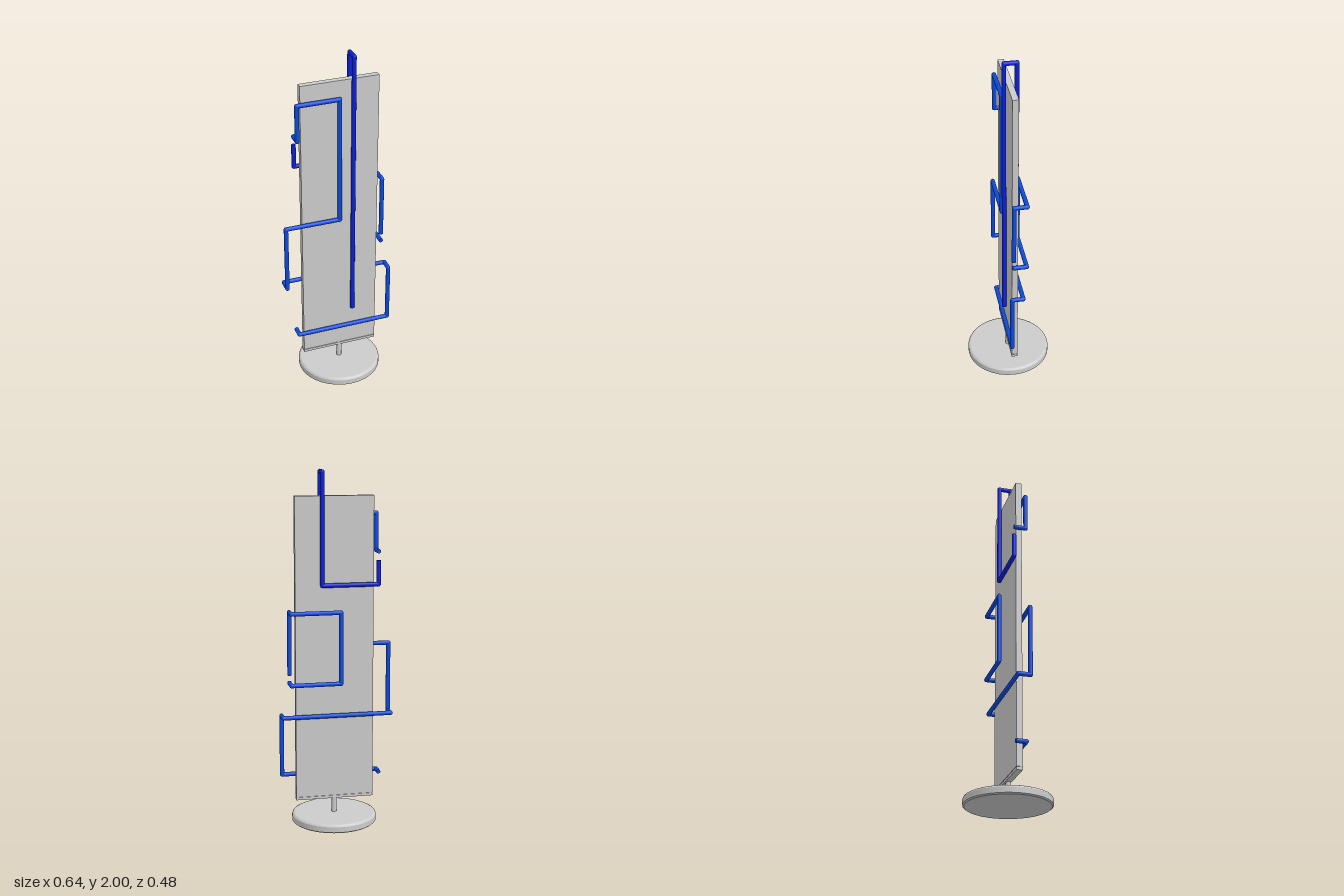
import * as THREE from 'three';

const TUBE_RADIUS = 0.0125;

// Round bar following straight runs between points, with rounded elbows
function bentBar(name, points, material) {
  const bar = new THREE.Group();
  bar.name = name;
  const pts = points.map((p) => new THREE.Vector3(...p));
  const up = new THREE.Vector3(0, 1, 0);
  for (let i = 0; i < pts.length - 1; i++) {
    const dir = pts[i + 1].clone().sub(pts[i]);
    const run = new THREE.Mesh(
      new THREE.CylinderGeometry(TUBE_RADIUS, TUBE_RADIUS, dir.length(), 16), material);
    run.name = 'barRun';
    run.position.copy(pts[i]).addScaledVector(dir, 0.5);
    run.quaternion.setFromUnitVectors(up, dir.normalize());
    bar.add(run);
    if (i > 0) {
      const elbow = new THREE.Mesh(new THREE.SphereGeometry(TUBE_RADIUS, 16, 12), material);
      elbow.name = 'barElbow';
      elbow.position.copy(pts[i]);
      bar.add(elbow);
    }
  }
  return bar;
}

export function createModel() {
  const model = new THREE.Group();
  const grey = new THREE.MeshStandardMaterial({ color: 0xcccccc });
  const blue = new THREE.MeshStandardMaterial({ color: 0x0a4be0 });
  const darkBlue = new THREE.MeshStandardMaterial({ color: 0x0a20d8 });
  const add = (name, geometry, x, y, z) => {
    const mesh = new THREE.Mesh(geometry, grey);
    mesh.name = name;
    mesh.position.set(x, y, z);
    model.add(mesh);
  };

  // Round foot with softened rims; doubled points keep the flat faces crisp
  const foot = [[0, 0], [0.233, 0], [0.233, 0], [0.241, 0.006], [0.241, 0.006],
    [0.241, 0.037], [0.241, 0.037], [0.237, 0.045], [0.228, 0.049], [0.228, 0.049], [0, 0.049]]
    .map(([r, y]) => new THREE.Vector2(r, y));
  add('foot', new THREE.LatheGeometry(foot, 32), 0.012, 0, 0);

  // Post, lower rail and upright panel
  add('post', new THREE.CylinderGeometry(0.015, 0.015, 0.11, 20), 0.012, 0.1, 0.001);
  add('lowerRail', new THREE.BoxGeometry(0.444, 0.016, 0.034), 0.011, 0.141, 0);
  add('railJoint', new THREE.BoxGeometry(0.436, 0.01, 0.026), 0.011, 0.15, 0);
  add('panel', new THREE.BoxGeometry(0.444, 1.706, 0.034), 0.011, 1.005, 0);

  // Tall bar that hooks over the top of the panel
  model.add(bentBar('tallBar', [
    [0.083, 0.4, 0.035], [0.083, 1.988, 0.035], [0.083, 1.988, -0.034],
    [0.083, 1.367, -0.034], [-0.235, 1.367, -0.034], [-0.235, 1.5, -0.034],
  ], darkBlue));

  // Long bar that winds around the panel from top to bottom
  model.add(bentBar('windingBar', [
    [-0.235, 1.55, -0.035], [-0.235, 1.55, 0.033], [-0.235, 1.757, 0.033],
    [0.004, 1.757, 0.033], [0.004, 1.02, 0.033], [-0.31, 1.02, 0.033],
    [-0.31, 0.625, 0.033], [-0.31, 0.625, -0.034], [0.308, 0.625, -0.034],
    [0.308, 0.625, 0.028], [0.308, 0.278, 0.028], [-0.242, 0.278, 0.028],
    [-0.242, 0.278, -0.03],
  ], blue));

  // Rectangular loop on the back, returning around the left edge
  model.add(bentBar('backLoop', [
    [0.263, 0.86, 0.012], [0.263, 1.218, 0.012], [0.263, 1.218, -0.06],
    [-0.017, 1.218, -0.06], [-0.017, 0.815, -0.06], [0.263, 0.815, -0.06],
    [0.263, 0.815, 0.018],
  ], blue));

  return model;
}
